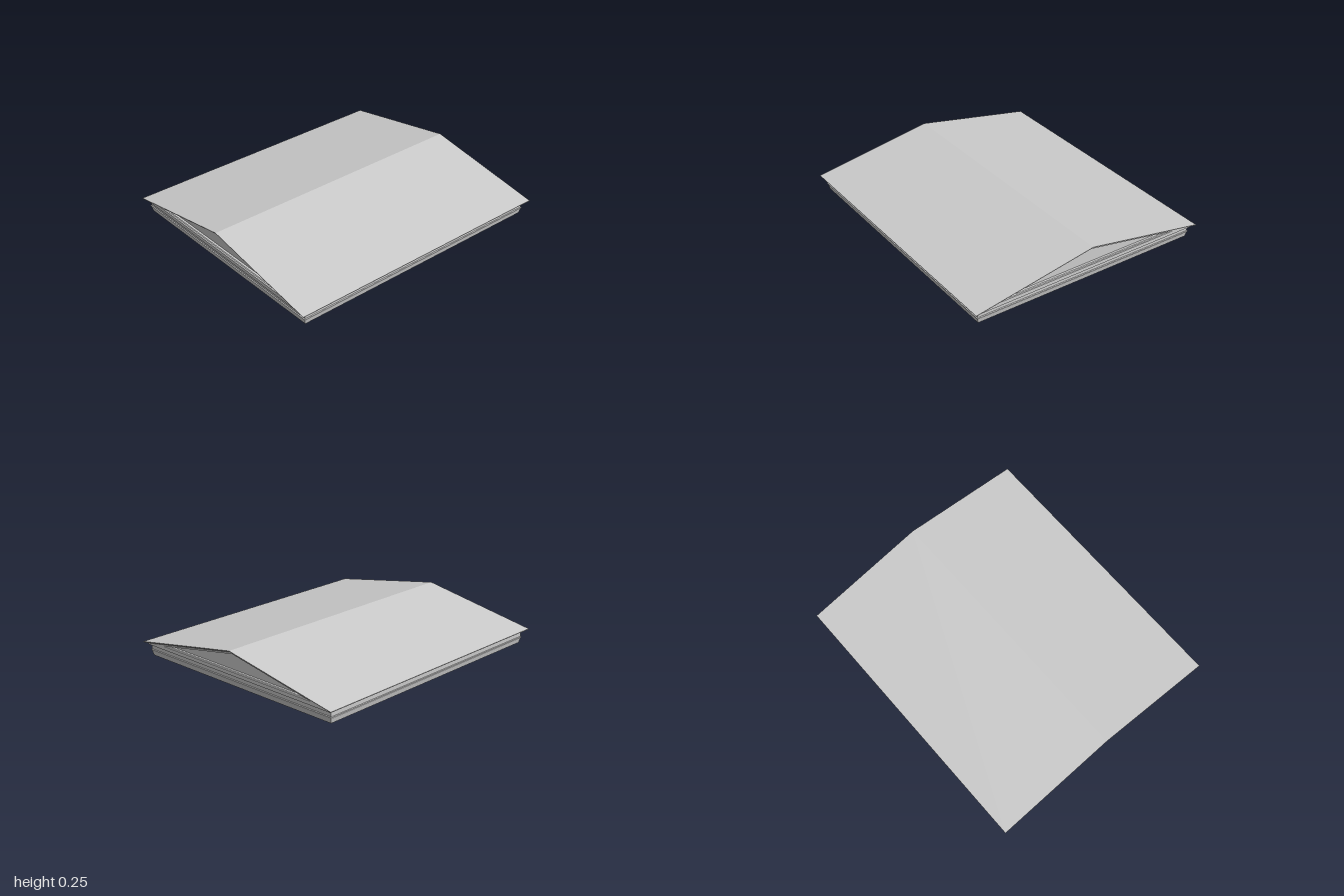
import * as THREE from 'three';

const material = new THREE.MeshStandardMaterial({ color: 0xcccccc, flatShading: true });

function part(name, geometry) {
  const mesh = new THREE.Mesh(geometry, material);
  mesh.name = name;
  return mesh;
}

// Skin a series of closed rings; caps are lists of corner indices.
function loft(rings, startCap = [], endCap = []) {
  const pos = [];
  const face = (...p) => {
    for (let i = 1; i < p.length - 1; i++) pos.push(...p[0], ...p[i], ...p[i + 1]);
  };
  for (let k = 0; k < rings.length - 1; k++) {
    const a = rings[k], b = rings[k + 1], n = a.length;
    for (let i = 0; i < n; i++) face(a[i], b[i], b[(i + 1) % n], a[(i + 1) % n]);
  }
  startCap.forEach(c => face(...c.map(i => rings[0][i])));
  endCap.forEach(c => face(...c.map(i => rings[rings.length - 1][i])));
  const geometry = new THREE.BufferGeometry();
  geometry.setAttribute('position', new THREE.Float32BufferAttribute(pos, 3));
  geometry.computeVertexNormals();
  return geometry;
}

// Rectangular ring, grown outward from the base outline
const rectRing = ([out, y]) => {
  const x = 0.83 + out, z = 0.95 + out;
  return [[x, y, z], [x, y, -z], [-x, y, -z], [-x, y, z]];
};

// Gabled ring: four eave corners and two ridge ends
const roofRing = ([x, z, drop]) => {
  const eave = 0.255 - drop - 0.177 * x, ridge = 0.255 - drop;
  return [[x, eave, z], [x, eave, -z], [0, ridge, -z], [-x, eave, -z], [-x, eave, z], [0, ridge, z]];
};

// Pediment triangle, shrunk by an inset
const triRing = ([inset, z]) => {
  const x = 0.69 - 6.7 * inset;
  return [[x, 0.105 + inset, z], [-x, 0.105 + inset, z], [0, 0.227 - inset, z]];
};

export function createModel() {
  const group = new THREE.Group();

  // Stepped beam around all sides, with a recessed ceiling underneath
  const beamProfile = [
    [0.018, 0.09], [0.016, 0.082], [0.012, 0.079], [0.008, 0.074],
    [0.007, 0.046], [0.013, 0.043], [0.011, 0.036], [0.007, 0.03], [0, 0],
    [-0.05, 0], [-0.05, 0.07],
  ];
  group.add(part('entablature', loft(beamProfile.map(rectRing), [], [[3, 2, 1, 0]])));

  // Roof with an undercut moulding along eaves and gables
  const roofProfile = [
    [0.875, 1, 0], [0.875, 1, 0.004], [0.87, 0.993, 0.008],
    [0.86, 0.982, 0.012], [0.855, 0.978, 0.016], [0.8, 0.92, 0.016],
  ];
  group.add(part('roof', loft(roofProfile.map(roofRing), [[0, 1, 2, 5], [2, 3, 4, 5]])));

  // Gable body, open where the pediment panels are set in
  const outline = new THREE.Shape([
    [-0.85, 0.08], [0.85, 0.08], [0.85, 0.0885], [0, 0.239], [-0.85, 0.0885],
  ].map(p => new THREE.Vector2(...p)));
  outline.holes.push(new THREE.Path(
    triRing([0, 0]).map(([x, y]) => new THREE.Vector2(x, y))));
  const body = new THREE.ExtrudeGeometry(outline, { depth: 1.95, bevelEnabled: false });
  body.translate(0, 0, -0.975);
  group.add(part('gableBody', body));

  // Recessed triangular panel with a stepped moulding, front and back
  const panel = loft([[0, 0.975], [0, 0.965], [0.004, 0.96], [0.004, 0.945]].map(triRing),
    [], [[2, 1, 0]]);
  for (const [name, angle] of [['frontPediment', 0], ['backPediment', Math.PI]]) {
    const mesh = part(name, panel);
    mesh.rotation.y = angle;
    group.add(mesh);
  }

  return group;
}
